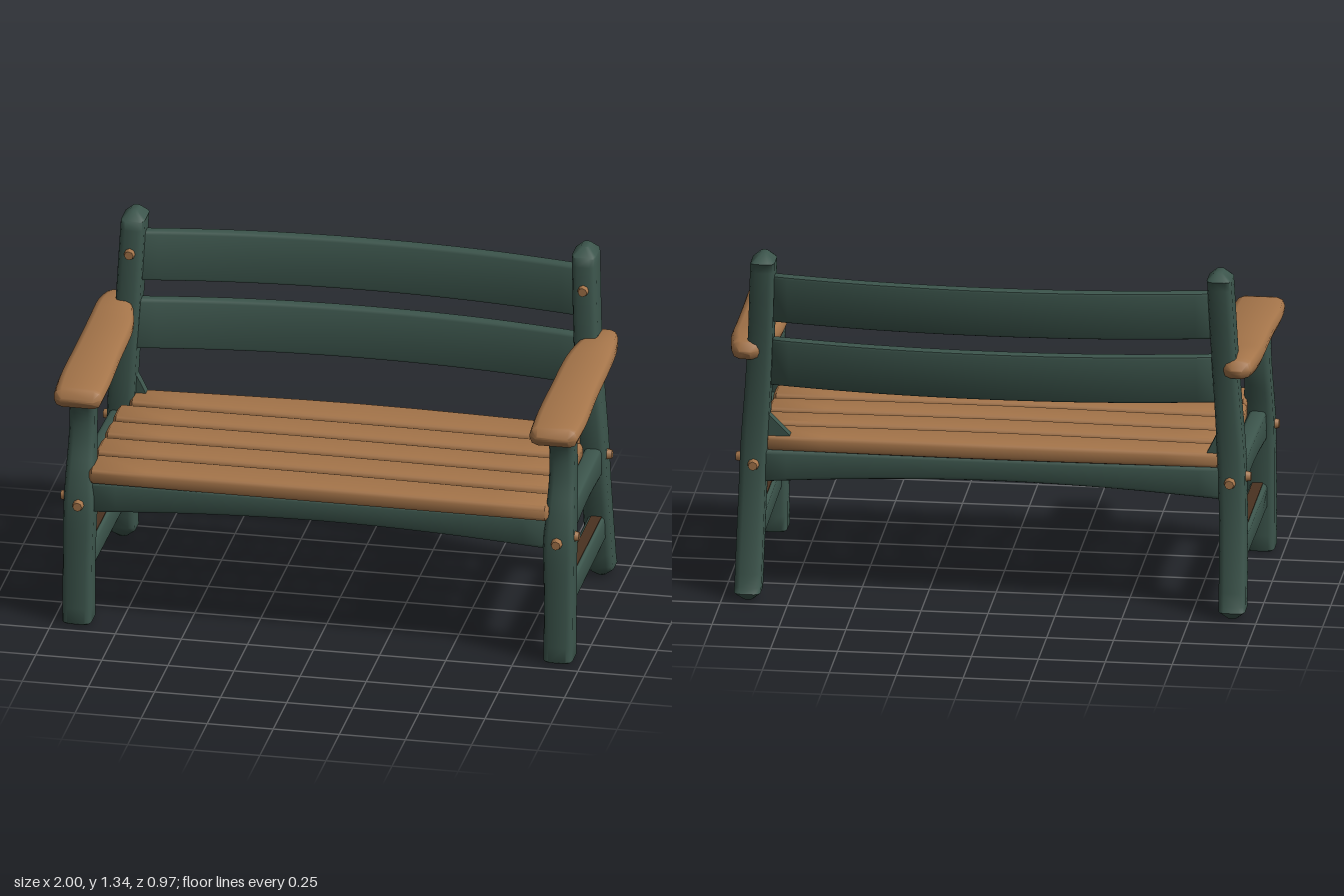
import * as THREE from 'three';
import { toCreasedNormals } from 'three/addons/utils/BufferGeometryUtils.js';

// Loft of rounded rectangles along an axis. Stations: [t, a0, a1, b0, b1], where
// (a, b) is (y, z) along x, (z, x) along y and (x, y) along z.
function loft(axis, stations, { r = 0.02, bevel = 0.015, lean = 0, mirror = false } = {}) {
  const low = new THREE.CatmullRomCurve3(stations.map(s => new THREE.Vector3(s[0], s[1], s[3])), false, 'catmullrom', 0.5);
  const high = new THREE.CatmullRomCurve3(stations.map(s => new THREE.Vector3(s[0], s[2], s[4])), false, 'catmullrom', 0.5);
  const n = (stations.length - 1) * 4;
  const rings = [];
  for (let i = 0; i <= n; i++) {
    const p = low.getPoint(i / n), q = high.getPoint(i / n);
    rings.push([p.x, p.y, q.y, p.z, q.z]);
  }
  // softened ends
  const inset = ([t, a0, a1, b0, b1], e) => [t, a0 + e, a1 - e, b0 + e, b1 - e];
  const first = inset(rings[0], bevel), last = inset(rings[n], bevel);
  rings[0][0] += bevel;
  rings[n][0] -= bevel;
  rings.unshift(first);
  rings.push(last);

  const pos = [], index = [], sides = 12;
  const put = (t, a, b) => {
    const p = axis === 'x' ? [t, a, b] : axis === 'y' ? [b, t, a] : [a, b, t];
    if (mirror) p[0] = -p[0];
    pos.push(...p);
  };
  const tri = (i, j, k) => (mirror ? index.push(i, k, j) : index.push(i, j, k));
  for (const [t, a0, a1, b0, b1] of rings) {
    const ca = (a0 + a1) / 2, cb = (b0 + b1) / 2, ha = (a1 - a0) / 2, hb = (b1 - b0) / 2;
    const rad = Math.min(r, ha * 0.9, hb * 0.9);
    for (let c = 0; c < 4; c++) for (let k = 0; k < 3; k++) {
      const ang = c * Math.PI / 2 + k * Math.PI / 4;
      const a = (c === 0 || c === 3 ? 1 : -1) * (ha - rad) + rad * Math.cos(ang);
      const b = (c < 2 ? 1 : -1) * (hb - rad) + rad * Math.sin(ang);
      put(t, ca + a, cb + b + lean * a);
    }
  }
  for (let i = 0; i < rings.length - 1; i++) for (let j = 0; j < sides; j++) {
    const a = i * sides + j, b = i * sides + (j + 1) % sides;
    tri(a, b, b + sides);
    tri(a, b + sides, a + sides);
  }
  const end = (rings.length - 1) * sides;
  for (let j = 1; j < sides - 1; j++) {
    tri(0, j + 1, j);
    tri(end, end + j, end + j + 1);
  }
  const g = new THREE.BufferGeometry();
  g.setAttribute('position', new THREE.Float32BufferAttribute(pos, 3));
  g.setIndex(index);
  return toCreasedNormals(g, 0.85);
}

// Puts downward faces in material group 1
function splitUnderside(g) {
  const p = g.attributes.position, v = [0, 1, 2].map(() => new THREE.Vector3());
  const normal = new THREE.Vector3();
  let start = 0, current = -1;
  for (let i = 0; i < p.count; i += 3) {
    v.forEach((w, k) => w.fromBufferAttribute(p, i + k));
    THREE.Triangle.getNormal(...v, normal);
    const m = normal.y < -0.8 ? 1 : 0;
    if (m !== current) {
      if (current >= 0) g.addGroup(start, i - start, current);
      start = i;
      current = m;
    }
  }
  g.addGroup(start, p.count - start, current);
  return g;
}

export function createModel() {
  const bench = new THREE.Group();
  bench.name = 'gardenBench';
  const mat = (name, color) => Object.assign(new THREE.MeshStandardMaterial({ color }), { name });
  const green = mat('green paint', 0x3c554c);
  const wood = mat('warm wood', 0xa5754a);
  const darkWood = mat('dark wood', 0x4a3220);
  const add = (name, geometry, material) => {
    const m = new THREE.Mesh(geometry, material);
    m.name = name;
    bench.add(m);
    return m;
  };
  const peg = (name, x, y, z, axis) => {
    const m = add(name, new THREE.CylinderGeometry(0.017, 0.024, 0.03, 8), wood);
    m.position.set(x, y, z);
    if (axis === 'z') m.rotation.x = Math.PI / 2 * Math.sign(z + 0.35);
    else m.rotation.z = -Math.PI / 2 * Math.sign(x);
  };

  for (const s of [1, -1]) {
    const side = s > 0 ? 'left' : 'right', mirror = s < 0;
    // front leg, curving back and flaring under the arm
    add(side + 'FrontLeg', loft('y', [
      [0, 0.33, 0.45, 0.855, 0.965], [0.25, 0.325, 0.44, 0.855, 0.965],
      [0.45, 0.315, 0.43, 0.85, 0.965], [0.58, 0.295, 0.405, 0.855, 0.962],
      [0.7, 0.268, 0.37, 0.86, 0.958], [0.8, 0.26, 0.362, 0.86, 0.955],
      [0.87, 0.265, 0.385, 0.86, 0.955], [0.92, 0.27, 0.43, 0.86, 0.955],
    ], { r: 0.022, bevel: 0.006, mirror }), green);
    // back leg, splayed at the foot and leaning back at the top
    add(side + 'BackLeg', loft('y', [
      [0, -0.48, -0.365, 0.855, 0.955], [0.2, -0.435, -0.325, 0.852, 0.952],
      [0.4, -0.403, -0.288, 0.848, 0.947], [0.6, -0.388, -0.27, 0.84, 0.94],
      [0.8, -0.39, -0.272, 0.83, 0.925], [1, -0.405, -0.283, 0.82, 0.912],
      [1.2, -0.428, -0.3, 0.812, 0.903], [1.34, -0.442, -0.318, 0.807, 0.897],
    ], { r: 0.022, bevel: 0.03, mirror }), green);
    // armrest
    add(side + 'Armrest', splitUnderside(loft('z', [
      [-0.43, 0.87, 0.965, 0.925, 0.99], [-0.3, 0.845, 0.985, 0.918, 1.002],
      [-0.15, 0.815, 0.99, 0.912, 0.99], [0.1, 0.81, 0.992, 0.906, 0.982],
      [0.32, 0.805, 0.998, 0.896, 0.968], [0.49, 0.81, 0.99, 0.885, 0.955],
    ], { r: 0.03, bevel: 0.026, mirror })), [wood, darkWood]);
    // side rail and low stretcher
    add(side + 'SideRail', loft('z', [
      [-0.33, 0.865, 0.93, 0.44, 0.56], [0, 0.87, 0.935, 0.46, 0.565], [0.36, 0.875, 0.94, 0.435, 0.56],
    ], { r: 0.015, mirror }), green);
    add(side + 'Stretcher', loft('z', [
      [-0.37, 0.87, 0.935, 0.165, 0.27], [0.37, 0.875, 0.94, 0.165, 0.27],
    ], { r: 0.015, mirror }), green);
    const strip = add(side + 'StretcherTop', new THREE.BoxGeometry(0.04, 0.004, 0.66), darkWood);
    strip.position.set(s * 0.905, 0.271, 0);
    // corner brace beside the back leg
    const w = s > 0 ? 0.1 : 0.05;
    const tri = new THREE.Shape([[0, 0], [s * w, 0], [s * w, 0.1]].map(p => new THREE.Vector2(...p)));
    const brace = add(side + 'Brace', new THREE.ExtrudeGeometry(tri, { depth: 0.04, bevelEnabled: false }), green);
    brace.position.set(s * (0.845 - w), 0.605, -0.36);
    // wooden pegs
    peg(side + 'FrontPeg', s * 0.905, 0.475, 0.432, 'z');
    peg(side + 'PostPeg', s * 0.858, 1.185, -0.296, 'z');
    peg(side + 'RearPeg', s * 0.89, 0.51, -0.4, 'z');
    peg(side + 'FrontSidePeg', s * 0.965, 0.49, 0.375, 'x');
    peg(side + 'BackSidePeg', s * 0.947, 0.52, -0.33, 'x');
  }

  // seat slats: z edges at the right end, then the left end, then half length
  const slats = [
    [0.26, 0.415, 0.28, 0.425, 0.87], [0.095, 0.235, 0.112, 0.247, 0.88], [-0.062, 0.068, -0.047, 0.085, 0.88],
    [-0.215, -0.087, -0.203, -0.073, 0.88], [-0.37, -0.242, -0.37, -0.228, 0.85],
  ];
  slats.forEach(([a0, a1, b0, b1, h], i) => {
    const back = i === 4 ? 0.02 : 0;
    add('seatSlat' + (i + 1), splitUnderside(loft('x', [
      [-h, 0.557, 0.617, a0, a1],
      [0, 0.56, 0.622, (a0 + b0) / 2 - back, (a1 + b1) / 2 + 0.006],
      [h, 0.557, 0.617, b0, b1],
    ], { r: 0.016, bevel: 0.012 })), [wood, darkWood]);
  });

  // front and back rails with arched lower edges
  for (const [name, z0, z1] of [['frontRail', 0.325, 0.4], ['backRail', -0.375, -0.31]]) {
    add(name, loft('x', [
      [-0.88, 0.435, 0.562, z0, z1], [-0.44, 0.462, 0.562, z0, z1], [0, 0.473, 0.562, z0, z1],
      [0.44, 0.462, 0.562, z0, z1], [0.88, 0.435, 0.562, z0, z1],
    ], { r: 0.015 }), green);
  }

  // bowed and tilted backrest boards
  for (const [name, y0, y1, zEnd] of [['lowerBackBoard', 0.805, 0.995, -0.33], ['upperBackBoard', 1.065, 1.255, -0.365]]) {
    const stations = [-0.85, -0.5, -0.17, 0.17, 0.5, 0.85].map(x => {
      const z = zEnd - 0.075 * (1 - (x / 0.85) ** 2);
      return [x, y0, y1, z - 0.025, z + 0.025];
    });
    add(name, loft('x', stations, { r: 0.012, lean: -0.13 }), green);
  }
  return bench;
}
